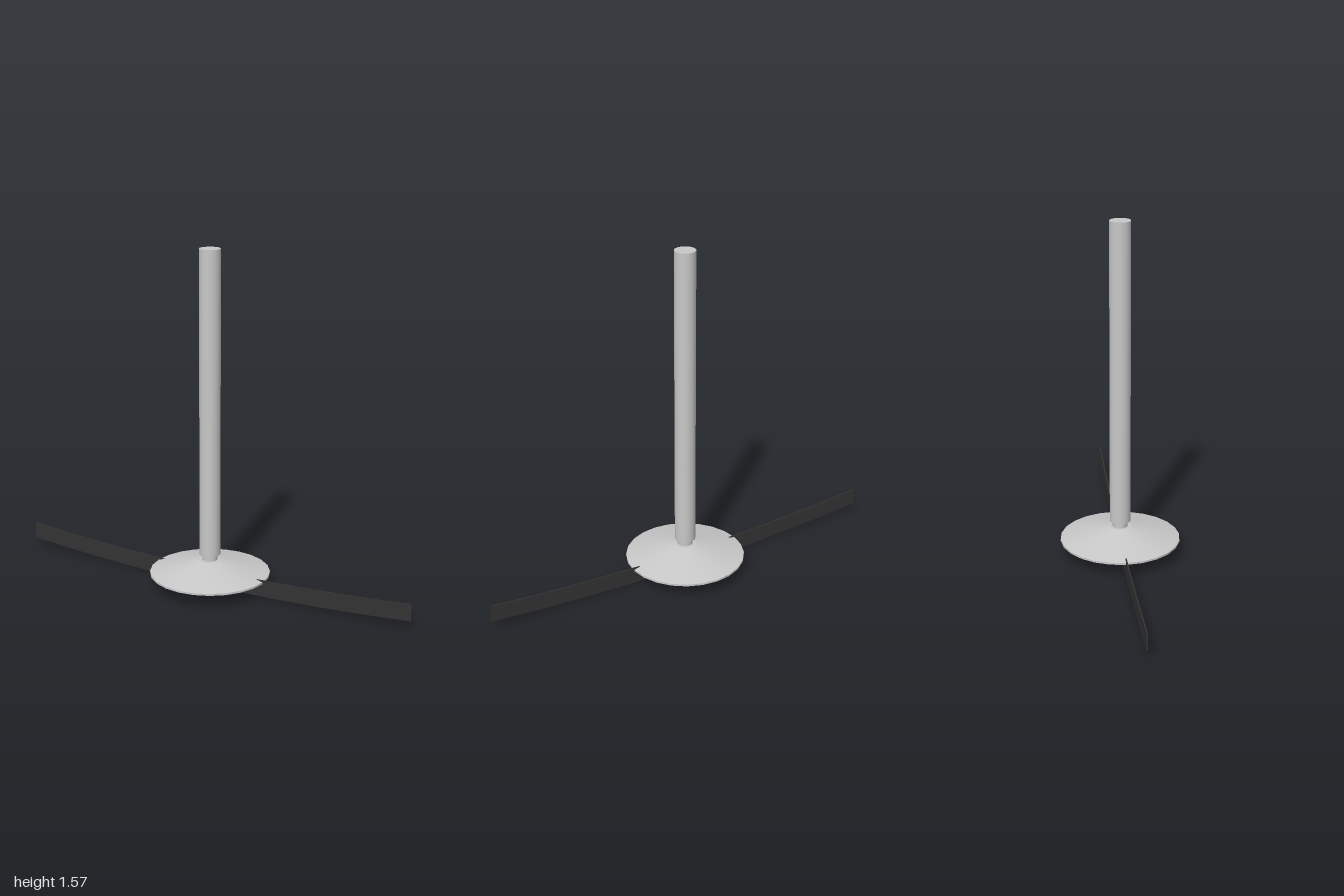
import * as THREE from 'three';

const metal = new THREE.MeshStandardMaterial({ color: 0xc8c8c8 });
metal.name = 'light metal';
const rubber = new THREE.MeshStandardMaterial({ color: 0x333333 });
rubber.name = 'dark rubber';

// Upright cylinder or cone standing between two heights
function turned(name, rTop, rBottom, y0, y1, sides = 24) {
  const mesh = new THREE.Mesh(new THREE.CylinderGeometry(rTop, rBottom, y1 - y0, sides), metal);
  mesh.position.y = (y0 + y1) / 2;
  mesh.name = name;
  return mesh;
}

export function createModel() {
  const model = new THREE.Group();
  model.name = 'rodWithBlade';

  // Long shaft with a narrower neck under it
  model.add(turned('shaft', 0.048, 0.048, 0.157, 1.57));
  model.add(turned('neck', 0.035, 0.035, 0.125, 0.16));

  // Shallow conical disc with a thin rim
  model.add(turned('discCone', 0.05, 0.277, 0.073, 0.13));
  model.add(turned('discRim', 0.277, 0.277, 0.064, 0.073));

  // Thin strip bowed upward toward both ends
  const strip = new THREE.BoxGeometry(2, 0.078, 0.006, 16, 1, 1);
  const p = strip.attributes.position;
  for (let i = 0; i < p.count; i++) {
    p.setY(i, p.getY(i) + 0.039 + 0.046 * p.getX(i) ** 2);
  }
  strip.computeVertexNormals();
  const blade = new THREE.Mesh(strip, rubber);
  blade.name = 'blade';
  model.add(blade);

  return model;
}
